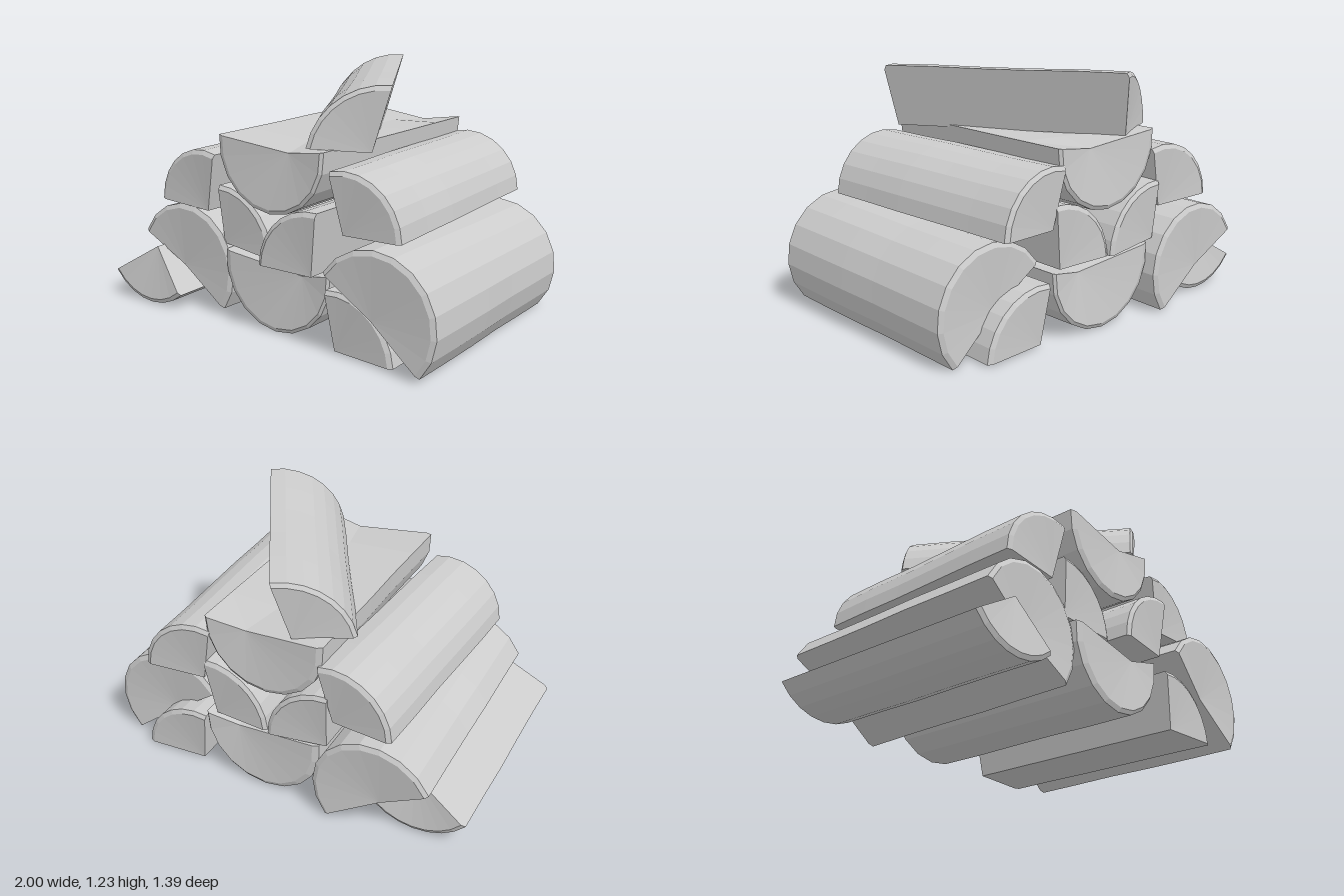
import * as THREE from 'three';

const wood = new THREE.MeshStandardMaterial({ color: 0xcccccc });
wood.name = 'plain grey wood';

// Points on the circle through a, b, c, running counter-clockwise from a to c
function arcThrough([ax, ay], [bx, by], [cx, cy], steps) {
  const d = 2 * (ax * (by - cy) + bx * (cy - ay) + cx * (ay - by));
  const a2 = ax * ax + ay * ay, b2 = bx * bx + by * by, c2 = cx * cx + cy * cy;
  const ox = (a2 * (by - cy) + b2 * (cy - ay) + c2 * (ay - by)) / d;
  const oy = (a2 * (cx - bx) + b2 * (ax - cx) + c2 * (bx - ax)) / d;
  const r = Math.hypot(ax - ox, ay - oy);
  const start = Math.atan2(ay - oy, ax - ox);
  let sweep = Math.atan2(cy - oy, cx - ox) - start;
  while (sweep <= 0) sweep += Math.PI * 2;
  return Array.from({ length: steps + 1 }, (_, i) => {
    const t = start + (sweep * i) / steps;
    return [ox + r * Math.cos(t), oy + r * Math.sin(t)];
  });
}

// Split log: bark arc (start, mid, end) closed by one inner point, lofted from front to back.
// shift slants the log, recess dishes both ends towards the inner point.
function logGeometry({ arc, inner, front, back, shift = [0, 0], half = false, recess = 0.025 }, seed) {
  const steps = half ? 10 : 7;
  const bark = arcThrough(...arc, steps);
  const [s, , e] = arc;
  const chordMid = [(s[0] + e[0]) / 2, (s[1] + e[1]) / 2];
  const bevel = 0.012;
  const skew = shift[0] / (front - back); // keeps ends square to a slanted log

  // One cross-section; inset pulls the bark in at the ends
  const section = (z, inset, isEnd) => {
    const t = (front - z) / (front - back);
    const wobble = isEnd ? 0 : 0.008 * Math.sin(seed * 2.3 + t * 9);
    const k = 1 - inset + wobble;
    const flat = half && !isEnd
      ? [(inner[0] + chordMid[0]) / 2, (inner[1] + chordMid[1]) / 2]
      : inner;
    const dx = shift[0] * t, dy = shift[1] * t;
    const ring = bark.map(([x, y]) => [
      inner[0] + (x - inner[0]) * k + dx,
      Math.max(0, inner[1] + (y - inner[1]) * k + dy),
      z + skew * (x - inner[0])]);
    const dish = isEnd ? recess * (t < 0.5 ? -1 : 1) : 0;
    ring.push([flat[0] + dx, flat[1] + dy, z + dish]);
    return ring;
  };

  const rings = [section(front, 0.07, true), section(front - bevel, 0, true)];
  for (let i = 1; i < 5; i++) rings.push(section(front + ((back - front) * i) / 5, 0, false));
  rings.push(section(back + bevel, 0, true), section(back, 0.07, true));

  const pos = [];
  const tri = (a, b, c) => pos.push(...a, ...b, ...c);
  const n = steps + 2;
  // Sides
  for (let r = 0; r < rings.length - 1; r++) {
    for (let i = 0; i < n; i++) {
      const j = (i + 1) % n, f = rings[r], b = rings[r + 1];
      tri(f[i], b[i], b[j]);
      tri(f[i], b[j], f[j]);
    }
  }
  // End grain, fanned from the inner point
  const f = rings[0], b = rings[rings.length - 1];
  for (let i = 0; i < steps; i++) {
    tri(f[n - 1], f[i], f[i + 1]);
    tri(b[n - 1], b[i + 1], b[i]);
  }
  const geo = new THREE.BufferGeometry();
  geo.setAttribute('position', new THREE.Float32BufferAttribute(pos, 3));
  geo.computeVertexNormals(); // unshared corners give flat facets
  return geo;
}

const logs = {
  // Bottom row
  bottomRightSmallLog: { arc: [[-1, 0.13], [-0.78, 0.005], [-0.53, 0.08]], inner: [-0.72, 0.3], front: 0.645, back: -0.585, recess: 0.045 },
  bottomRightHalfLog: { arc: [[-0.31, 0.035], [-0.365, 0.475], [-0.84, 0.365]], inner: [-0.59, 0.21], front: 0.56, back: -0.695, shift: [-0.01, -0.025], half: true },
  bottomMiddleHalfLog: { arc: [[-0.26, 0.365], [0.06, 0.002], [0.375, 0.345]], inner: [0.2, 0.31], front: 0.585, back: -0.64, half: true },
  bottomLeftSmallLog: { arc: [[0.76, 0.01], [0.66, 0.22], [0.39, 0.3]], inner: [0.43, 0.01], front: 0.64, back: -0.635 },
  bottomLeftHalfLog: { arc: [[0.92, 0.02], [0.89, 0.475], [0.415, 0.405]], inner: [0.66, 0.22], front: 0.685, back: -0.55, shift: [-0.03, -0.02], half: true },
  // Middle pair
  middleRightLog: { arc: [[0.015, 0.355], [-0.08, 0.58], [-0.315, 0.675]], inner: [-0.3, 0.38], front: 0.565, back: -0.655 },
  middleLeftLog: { arc: [[0.365, 0.66], [0.12, 0.575], [0.02, 0.36]], inner: [0.32, 0.35], front: 0.67, back: -0.645 },
  // Upper row
  upperRightLog: { arc: [[-0.33, 0.825], [-0.59, 0.785], [-0.715, 0.55]], inner: [-0.4, 0.53], front: 0.575, back: -0.66, shift: [0.065, 0.01] },
  upperMiddleHalfLog: { arc: [[-0.285, 0.935], [0.03, 0.585], [0.345, 0.92]], inner: [0.13, 0.89], front: 0.59, back: -0.64, half: true },
  upperLeftLog: { arc: [[0.755, 0.56], [0.655, 0.775], [0.38, 0.84]], inner: [0.44, 0.55], front: 0.59, back: -0.655, shift: [-0.065, 0] },
  // Loose log lying across the top
  topLog: { arc: [[0.2, 1.215], [-0.08, 1.12], [-0.19, 0.925]], inner: [0.11, 0.905], front: 0.615, back: -0.615, shift: [0, 0.01], recess: 0.03 },
};

export function createModel() {
  const pile = new THREE.Group();
  pile.name = 'firewoodPile';
  Object.entries(logs).forEach(([name, spec], i) => {
    const mesh = new THREE.Mesh(logGeometry(spec, i + 1), wood);
    mesh.name = name;
    pile.add(mesh);
  });
  const top = pile.getObjectByName('topLog');
  top.position.set(0.09, 0, -0.05);
  top.rotation.y = 0.533;
  return pile;
}
